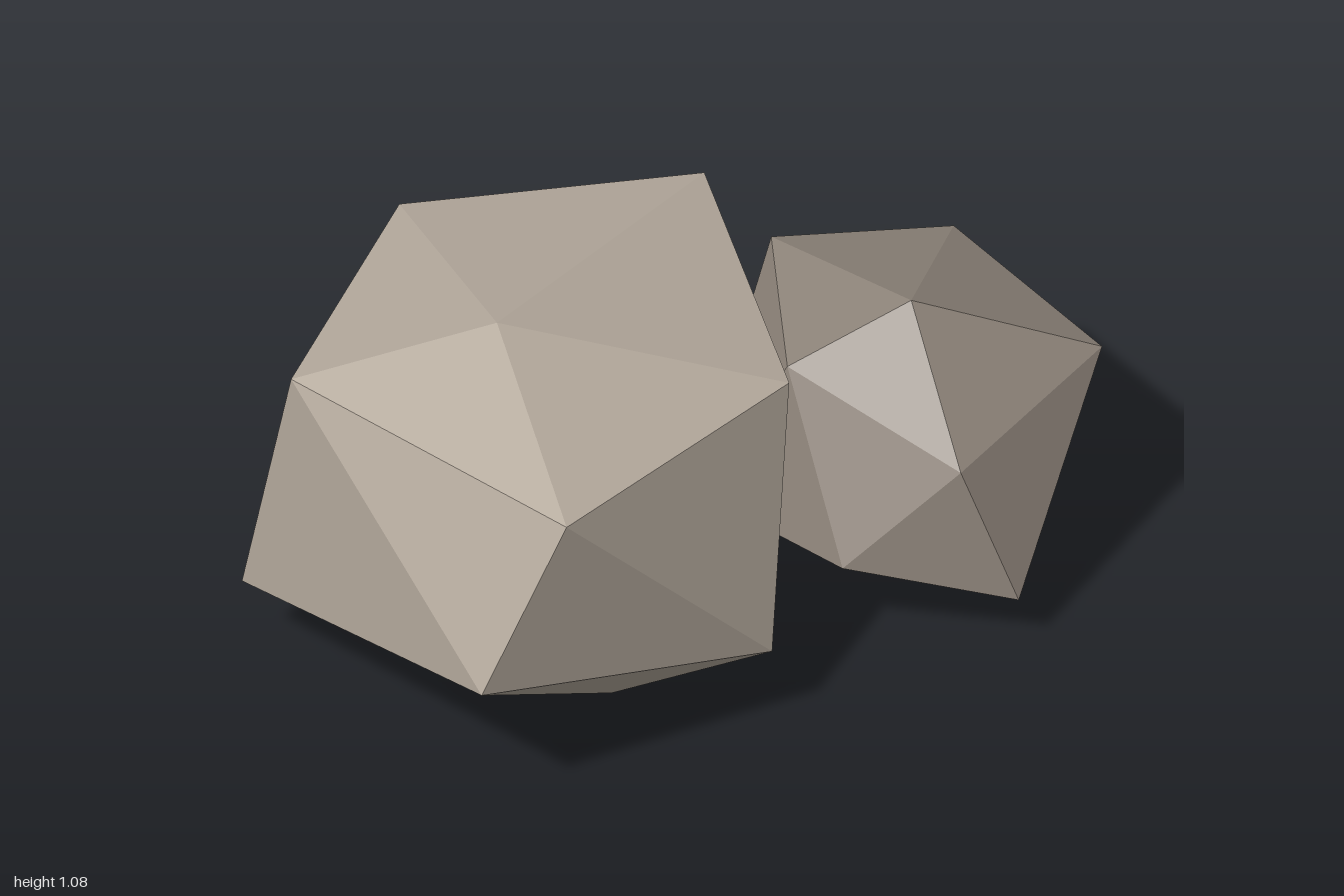
import * as THREE from 'three';

// A rock is a distorted icosahedron: peak, upper ring, lower ring, foot.
// Rings run front -> right -> back -> left; lower[i] sits between upper[i] and upper[i + 1].
function makeRock(name, color, { peak, upper, lower, foot }) {
  const corners = [];
  for (let i = 0; i < 5; i++) {
    const j = (i + 1) % 5;
    corners.push(peak, upper[i], upper[j]);       // cap
    corners.push(upper[i], lower[i], upper[j]);   // belt, pointing down
    corners.push(upper[j], lower[i], lower[j]);   // belt, pointing up
    corners.push(foot, lower[j], lower[i]);       // underside
  }
  const geometry = new THREE.BufferGeometry();
  geometry.setAttribute('position', new THREE.Float32BufferAttribute(corners.flat(), 3));
  geometry.computeVertexNormals(); // unshared corners give flat facets
  const rock = new THREE.Mesh(geometry, new THREE.MeshStandardMaterial({ color, flatShading: true }));
  rock.name = name;
  return rock;
}

export function createModel() {
  const group = new THREE.Group();
  group.name = 'rocks';

  // Large pale boulder
  group.add(makeRock('largeRock', 0xb8ada0, {
    peak: [-0.38, 1.075, 0.2],
    upper: [[-0.14, 0.935, 0.805], [0.31, 0.85, 0.06], [0.01, 0.855, -0.74], [-0.7, 0.87, -0.51], [-0.86, 0.975, 0.35]],
    lower: [[0.3, 0.24, 0.325], [0.14, 0.16, -0.21], [-0.435, 0.24, -0.45], [-1, 0.22, 0.17], [-0.34, 0.445, 0.85]],
    foot: [-0.1, 0, 0.22],
  }));

  // Small darker rock behind it
  group.add(makeRock('smallRock', 0x8f857b, {
    peak: [0.56, 0.835, -0.32],
    upper: [[0.71, 0.52, -0.065], [1, 0.6, -0.5], [0.6, 0.665, -0.85], [0.17, 0.665, -0.755], [0.27, 0.67, -0.24]],
    lower: [[0.85, 0.15, -0.065], [0.875, 0.265, -0.65], [0.31, 0.215, -0.83], [0.03, 0.2, -0.34], [0.43, 0.245, -0.015]],
    foot: [0.56, 0.08, -0.475],
  }));

  return group;
}
